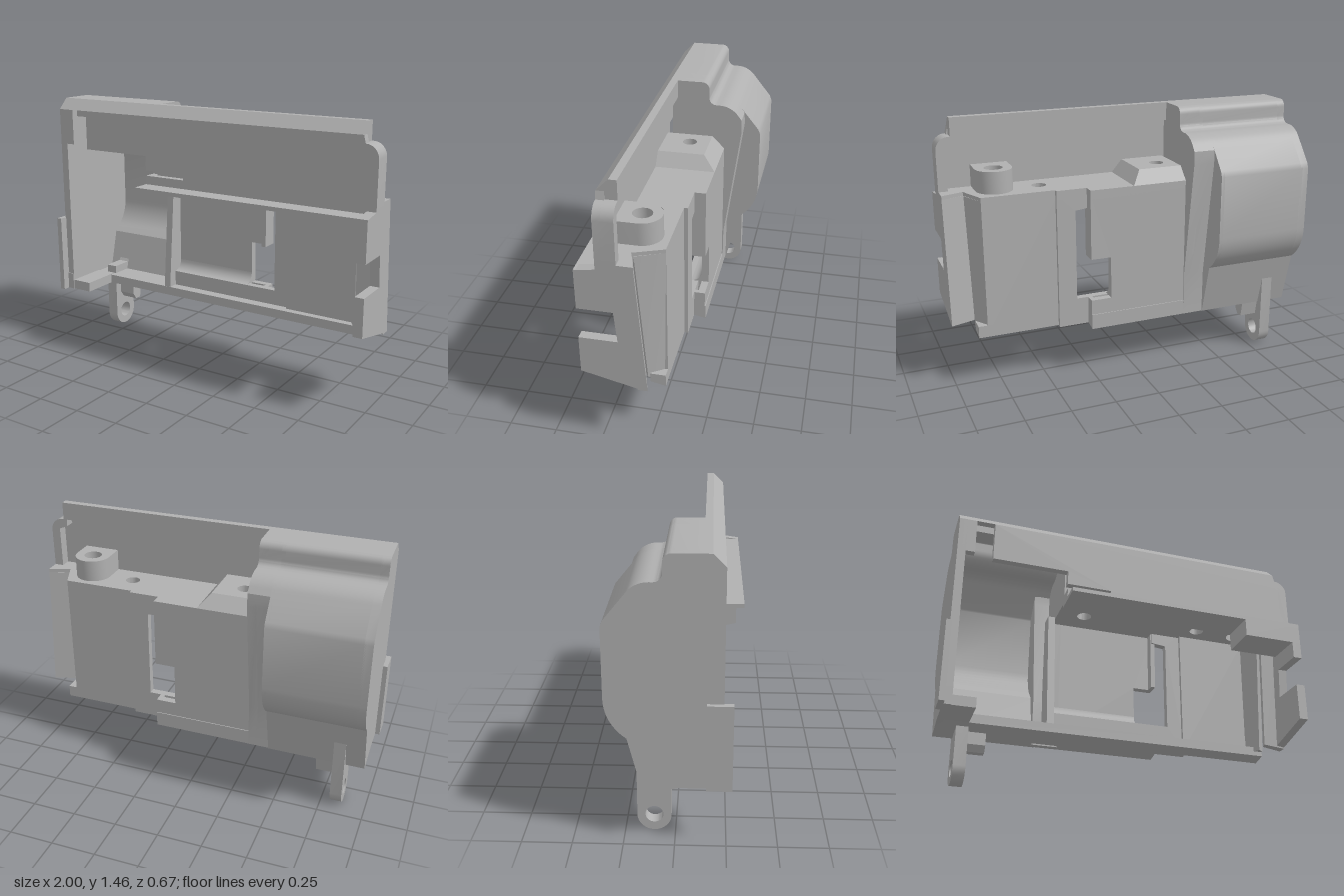
import * as THREE from 'three';
import { toCreasedNormals } from 'three/addons/utils/BufferGeometryUtils.js';
import { ConvexGeometry } from 'three/addons/geometries/ConvexGeometry.js';

const grey = new THREE.MeshStandardMaterial({ color: 0xb0b0b0, side: THREE.DoubleSide });
grey.name = 'grey plastic';

export function createModel() {
  const model = new THREE.Group();
  model.name = 'housingCover';

  const add = (name, geo) => {
    const mesh = new THREE.Mesh(toCreasedNormals(geo, 0.5), grey);
    mesh.name = name;
    model.add(mesh);
  };
  const box = (name, x0, x1, y0, y1, z0, z1) => {
    const g = new THREE.BoxGeometry(x1 - x0, y1 - y0, z1 - z0);
    add(name, g.translate((x0 + x1) / 2, (y0 + y1) / 2, (z0 + z1) / 2));
  };
  // Extrude a flat outline; round holes are [u, v, radius]
  const extrude = (pts, depth, holes = []) => {
    const shape = new THREE.Shape(pts.map(p => new THREE.Vector2(...p)));
    for (const [u, v, r] of holes) {
      const hole = new THREE.Path();
      hole.absarc(u, v, r, 0, Math.PI * 2, true);
      shape.holes.push(hole);
    }
    return new THREE.ExtrudeGeometry(shape, { depth, bevelEnabled: false, curveSegments: 16 });
  };
  // Outline in (x, y), thickness along z
  const frontPlate = (name, pts, z0, z1) =>
    add(name, extrude(pts, z1 - z0).translate(0, 0, z0));
  // Outline in (z, y), thickness along x
  const sidePlate = (name, pts, x0, x1, holes = []) =>
    add(name, extrude(pts.map(([z, y]) => [-z, y]), x1 - x0, holes.map(([z, y, r]) => [-z, y, r]))
      .rotateY(Math.PI / 2).translate(x0, 0, 0));
  // Outline in (x, z), thickness along y
  const levelPlate = (name, pts, y0, y1, holes = []) =>
    add(name, extrude(pts.map(([x, z]) => [x, -z]), y1 - y0, holes.map(([x, z, r]) => [x, -z, r]))
      .rotateX(-Math.PI / 2).translate(0, y0, 0));
  const hull = (name, pts) => add(name, new ConvexGeometry(pts.map(p => new THREE.Vector3(...p))));
  const arc = (cu, cv, r, a0, a1, n = 10) => Array.from({ length: n + 1 }, (_, i) => {
    const a = THREE.MathUtils.degToRad(a0 + (a1 - a0) * i / n);
    return [cu + r * Math.cos(a), cv + r * Math.sin(a)];
  });
  // Thicken a profile towards its inner side
  const shell = (pts, d) => {
    const inner = pts.map((p, i) => {
      const a = pts[Math.max(i - 1, 0)], b = pts[Math.min(i + 1, pts.length - 1)];
      const du = b[0] - a[0], dv = b[1] - a[1], l = Math.hypot(du, dv);
      return [p[0] - dv / l * d, p[1] + du / l * d];
    });
    return [...pts, ...inner.reverse()];
  };

  // Back bulge profiles, in (z, y)
  const shoulder = [
    ...arc(-0.01, 1.42, 0.04, 90, 180, 6),
    ...arc(-0.09, 1.37, 0.04, 0, -90, 6),
    ...arc(-0.11, 1.2, 0.13, 90, 142),
  ];
  const belly = [[-0.318, 1.15], [-0.33, 1.12], ...arc(-0.08, 0.77, 0.25, 180, 235), [-0.15, 0.27]];
  const narrow = [[-0.235, 1.25], [-0.238, 1.18], [-0.147, 0.52], [-0.145, 0.27]];
  const fullCurve = [...shoulder, ...belly];
  const narrowCurve = [...shoulder, ...narrow];

  sidePlate('leftWall', [[0.02, 0.305], [0.23, 0.305], [0.23, 1.4], [0.17, 1.46], ...fullCurve], -0.975, -0.93);
  sidePlate('bulgeShell', shell([[0.13, 1.46], ...fullCurve], 0.035), -0.94, -0.43);
  sidePlate('bulgeStepShell', shell([[0.13, 1.46], ...narrowCurve], 0.035), -0.45, -0.31);
  sidePlate('bulgeStepWall', [...shoulder.slice(-1), ...belly, ...[...narrow].reverse()], -0.45, -0.43);
  sidePlate('bulgeEndWall', [[-0.1, 0.3], [-0.1, 1.07], [0.16, 1.07], [0.16, 1.46], ...narrowCurve], -0.36, -0.31);
  sidePlate('innerRib', [[-0.12, 0.33], [0.02, 0.33], [-0.04, 1.03], [-0.12, 1.03]], -0.4, -0.36);

  // Upper front wall with chamfered top rail
  frontPlate('frontWall', [
    [-0.95, 1.2], [-0.88, 1.2], [-0.88, 1.4], [-0.78, 1.4], [-0.78, 1.18], [-0.36, 1.18],
    [-0.36, 1.1], [-0.11, 1.1], [-0.11, 1.02], [1, 1.02],
    ...arc(0.93, 1.29, 0.07, 0, 90, 6), [0.92, 1.4], [-0.95, 1.4],
  ], 0.19, 0.23);
  sidePlate('topRail', [[0.13, 1.36], [0.19, 1.36], [0.19, 1.4], [0.23, 1.4], [0.17, 1.46], [0.13, 1.46]], -0.95, 0.92);
  frontPlate('frontWallEnd', [[0.95, 1.02], [1, 1.02], ...arc(0.93, 1.29, 0.07, 0, 90, 6), [0.9, 1.36], [0.9, 1.32], [0.95, 1.3]], 0.13, 0.23);

  // Shelf behind the front wall, with screw boss and raised wedge
  const screw = [0.715, 0.075], pin = [0.47, 0.075, 0.04], slot = [-0.21, 0.04, 0.04];
  levelPlate('shelf', [
    [-0.36, 0.23], [-0.36, -0.14], [0.25, -0.14], [0.25, -0.08], [0.42, -0.08], [0.42, -0.06],
    [0.82, -0.06], [0.88, 0.09], [1, 0.05], [1, 0.23],
  ], 1.02, 1.07, [[...screw, 0.05], pin, slot]);
  levelPlate('screwBoss', [[0.815, 0.19], ...arc(...screw, 0.1, 0, -180, 20), [0.615, 0.19]], 1.05, 1.19, [[...screw, 0.05]]);
  levelPlate('wedgeTop', [[-0.31, 0.19], [-0.31, -0.07], [-0.06, -0.07], [-0.06, 0.19]], 1.05, 1.14, [slot]);
  hull('wedgeBack', [
    [-0.31, 1.14, -0.07], [-0.06, 1.14, -0.07], [-0.31, 1.03, -0.07], [0, 1.03, -0.07],
    [-0.31, 1.07, -0.14], [0, 1.07, -0.14], [-0.31, 1.03, -0.14], [0, 1.03, -0.14],
  ]);
  hull('wedgeSide', [
    [-0.06, 1.14, 0.19], [-0.06, 1.14, -0.07], [0, 1.07, 0.19], [0, 1.07, -0.14],
    [-0.06, 1.04, 0.19], [-0.06, 1.04, -0.14], [0, 1.04, 0.19], [0, 1.04, -0.14],
  ]);
  box('frontLedge', -0.36, 1, 1.0, 1.022, 0.13, 0.335);
  box('ledgeBlock', 0.66, 1, 0.9, 1.02, 0.13, 0.335);

  // Stepped back wall around the L-shaped window
  frontPlate('backWall', [
    [-0.36, 0.3], [0.25, 0.3], [0.25, 0.44], [0.135, 0.44], [0.135, 0.68], [0.25, 0.68], [0.25, 1.05], [-0.36, 1.05],
  ], -0.14, -0.1);
  frontPlate('backWallMiddle', [
    [0.23, 0.3], [0.42, 0.3], [0.42, 1.05], [0.23, 1.05], [0.23, 0.96], [0.315, 0.95], [0.315, 0.44], [0.23, 0.44],
  ], -0.08, -0.04);
  box('backWallRight', 0.4, 0.82, 0.3, 1.05, -0.06, -0.02);
  box('windowStepTop', 0.225, 0.25, 0.68, 1.05, -0.14, -0.05);
  box('windowStepBottom', 0.225, 0.25, 0.3, 0.44, -0.14, -0.05);

  // Sloping floor, shallower where the back wall steps in
  const floors = [[-0.94, 0.25, -0.145], [0.25, 0.42, -0.08], [0.42, 0.87, -0.06]];
  for (const [x0, x1, z] of floors) {
    sidePlate('floor', [[0.02, 0.305], [0.02, 0.355], [z, 0.355], [z, 0.305 + (z - 0.02) * 0.21]], x0, x1);
  }
  sidePlate('floorFillet', [[-0.04, 0.34], [-0.04, 0.42], ...arc(-0.04, 0.5, 0.06, -90, -180, 6), [-0.13, 0.5], [-0.13, 0.34]], -0.38, 0.135);
  box('windowSill', 0.135, 0.315, 0.34, 0.44, -0.08, -0.04);

  // Slanted right corner, tapering downwards
  hull('cornerWall', [0.33, 1.05].flatMap((y, i) => {
    const dx = i ? 0 : -0.01, dz = i ? 0 : -0.05;
    return [[0.82 + dx, y, -0.06], [0.88 + dx, y, 0.08 + dz], [0.85 + dx, y, 0.1 + dz], [0.79 + dx, y, -0.04]];
  }));
  hull('cornerFlange', [0.355, 1.05].flatMap((y, i) => {
    const s = i ? 0.07 : 0.02;
    return [[0.87, y, s + 0.02], [1, y, s - 0.02], [1, y, s + 0.03], [0.86, y, s + 0.06]];
  }));
  sidePlate('rightEndPlate', [
    [0.02, 0.355], [0.335, 0.43], [0.335, 0.635], [0.14, 0.635], [0.155, 0.805], [0.335, 0.805], [0.335, 1.02], [0.07, 1.06],
  ], 0.95, 1);

  // Left edge flange, foot shelf and hanging lug
  box('sideFlange', -1, -0.97, 0.305, 0.75, 0.15, 0.275);
  box('flangeFoot', -1, -0.93, 0.305, 0.4, 0.2, 0.235);
  box('footShelf', -0.95, -0.81, 0.305, 0.36, 0.0, 0.23);
  sidePlate('hangingLug', [
    [-0.02, 0.4], ...arc(-0.105, 0.085, 0.085, 0, -180, 20), [-0.19, 0.48], [-0.14, 0.4],
  ], -0.87, -0.805, [[-0.105, 0.09, 0.045]]);
  sidePlate('lugWeb', [[-0.065, 0.32], [-0.065, 0.22], [-0.09, 0.185], [-0.13, 0.185], [-0.15, 0.3]], -0.81, -0.705);

  return model;
}
